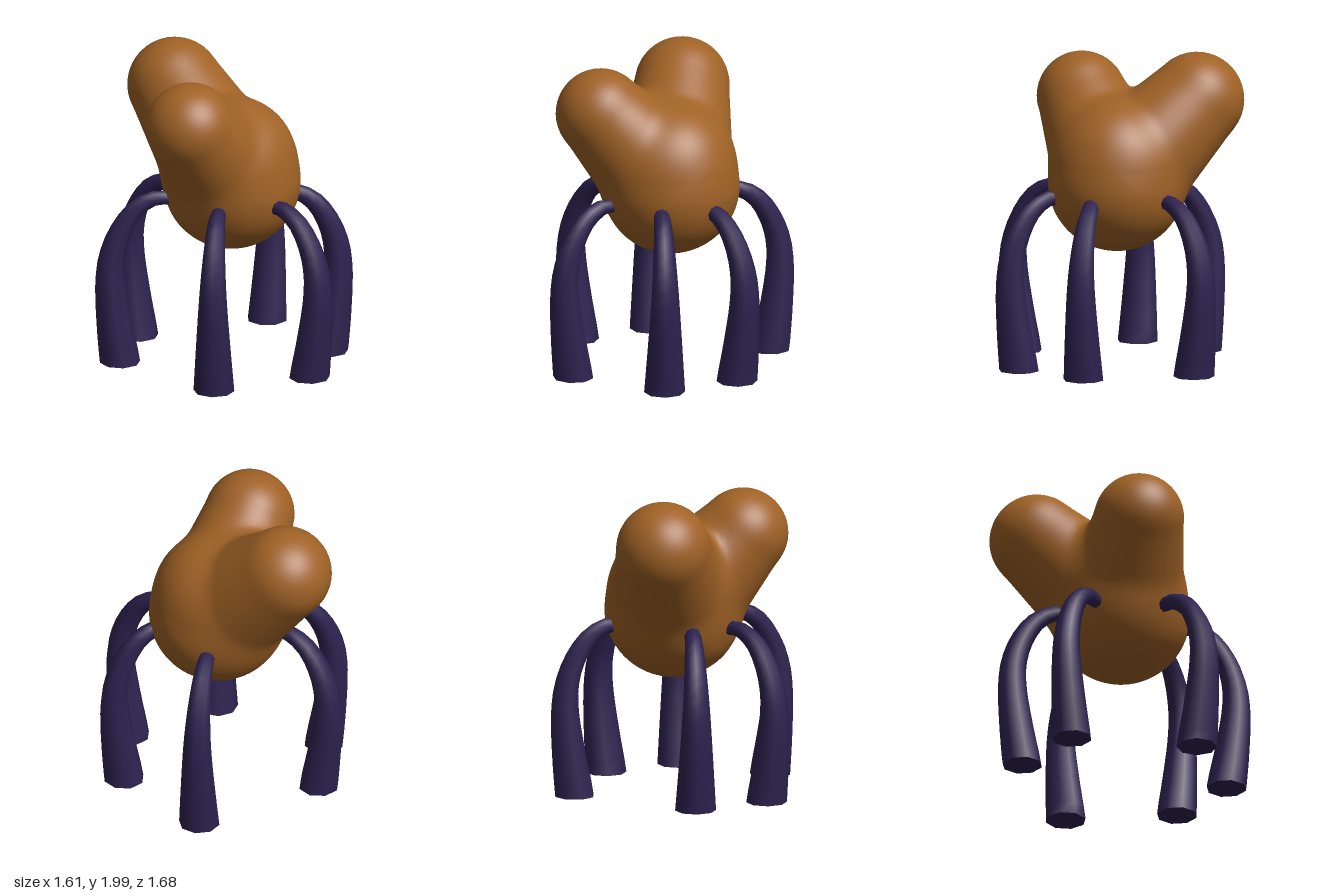
import * as THREE from 'three';
import { mergeVertices, toCreasedNormals } from 'three/addons/utils/BufferGeometryUtils.js';

const V = (x, y, z) => new THREE.Vector3(x, y, z);

// Distance to a tapered capsule
function taperDistance(p, a, b, ra, rb) {
  const ab = b.clone().sub(a);
  const h = THREE.MathUtils.clamp(p.clone().sub(a).dot(ab) / ab.lengthSq(), 0, 1);
  return p.distanceTo(a.clone().addScaledVector(ab, h)) - THREE.MathUtils.lerp(ra, rb, h);
}

function smoothMin(a, b, k) {
  const h = Math.max(k - Math.abs(a - b), 0) / k;
  return Math.min(a, b) - h * h * k * 0.25;
}

// Smooth body: a round belly blended with two rising lobes
function bodyGeometry() {
  const core = V(0, 1.19, 0);
  const distance = (p) => {
    const belly = taperDistance(p, V(0, 1.175, 0), V(0, 1.31, 0), 0.43, 0.42);
    const sideLobe = taperDistance(p, core, V(-0.45, 1.67, 0), 0.41, 0.29);
    const backLobe = taperDistance(p, core, V(0.11, 1.69, -0.53), 0.41, 0.305);
    return smoothMin(smoothMin(sideLobe, backLobe, 0.1), belly, 0.05);
  };
  let geo = new THREE.IcosahedronGeometry(1, 30);
  geo.deleteAttribute('normal');
  geo.deleteAttribute('uv');
  geo = mergeVertices(geo, 1e-4);
  const pos = geo.attributes.position;
  const dir = V(0, 0, 0);
  const p = V(0, 0, 0);
  for (let i = 0; i < pos.count; i++) {
    dir.fromBufferAttribute(pos, i).normalize();
    let near = 0;
    let far = 1.5;
    for (let n = 0; n < 18; n++) {
      const mid = (near + far) / 2;
      p.copy(core).addScaledVector(dir, mid);
      if (distance(p) < 0) near = mid;
      else far = mid;
    }
    pos.setXYZ(i, p.x, p.y, p.z);
  }
  geo.computeVertexNormals();
  return geo;
}

// Leg: eight-sided cylinder bent along an arch in the xy plane, widening to the foot
function legGeometry() {
  const arch = new THREE.CatmullRomCurve3([
    [0.31, 1.09], [0.45, 1.105], [0.58, 1.035], [0.68, 0.89],
    [0.735, 0.72], [0.745, 0.55], [0.72, 0.28], [0.68, 0],
  ].map(([x, y]) => V(x, y, 0)));
  const geo = new THREE.CylinderGeometry(1, 1, 1, 8, 18);
  const pos = geo.attributes.position;
  for (let i = 0; i < pos.count; i++) {
    const t = THREE.MathUtils.clamp(0.5 - pos.getY(i), 0, 1);
    const c = arch.getPointAt(t);
    const tan = arch.getTangentAt(t);
    const r = THREE.MathUtils.lerp(0.042, 0.132, t);
    const x = pos.getX(i) * r;
    const y = t > 0.999 ? 0 : c.y + x * tan.x;
    pos.setXYZ(i, c.x - x * tan.y, y, pos.getZ(i) * r);
  }
  return toCreasedNormals(geo, 1);
}

export function createModel() {
  const model = new THREE.Group();
  const bodyColour = new THREE.MeshStandardMaterial({ color: 0xa06226 });
  bodyColour.name = 'amber brown';
  const legColour = new THREE.MeshStandardMaterial({ color: 0x2e2250 });
  legColour.name = 'dark violet';

  const body = new THREE.Mesh(bodyGeometry(), bodyColour);
  body.name = 'body';
  model.add(body);

  // Six legs: foot x, foot z, outward angle in degrees
  const legs = new THREE.Group();
  legs.name = 'legs';
  const legGeo = legGeometry();
  [
    [-0.085, 0.68, 90], [0.395, 0.48, 45], [0.655, -0.19, -15],
    [-0.085, -0.68, -90], [-0.56, -0.48, -135], [-0.65, 0.33, 150],
  ].forEach(([x, z, degrees], i) => {
    const a = THREE.MathUtils.degToRad(degrees);
    const leg = new THREE.Mesh(legGeo, legColour);
    leg.name = `leg${i + 1}`;
    leg.position.set(x - 0.68 * Math.cos(a), 0, z - 0.68 * Math.sin(a));
    leg.rotation.y = -a;
    legs.add(leg);
  });
  model.add(legs);
  return model;
}
